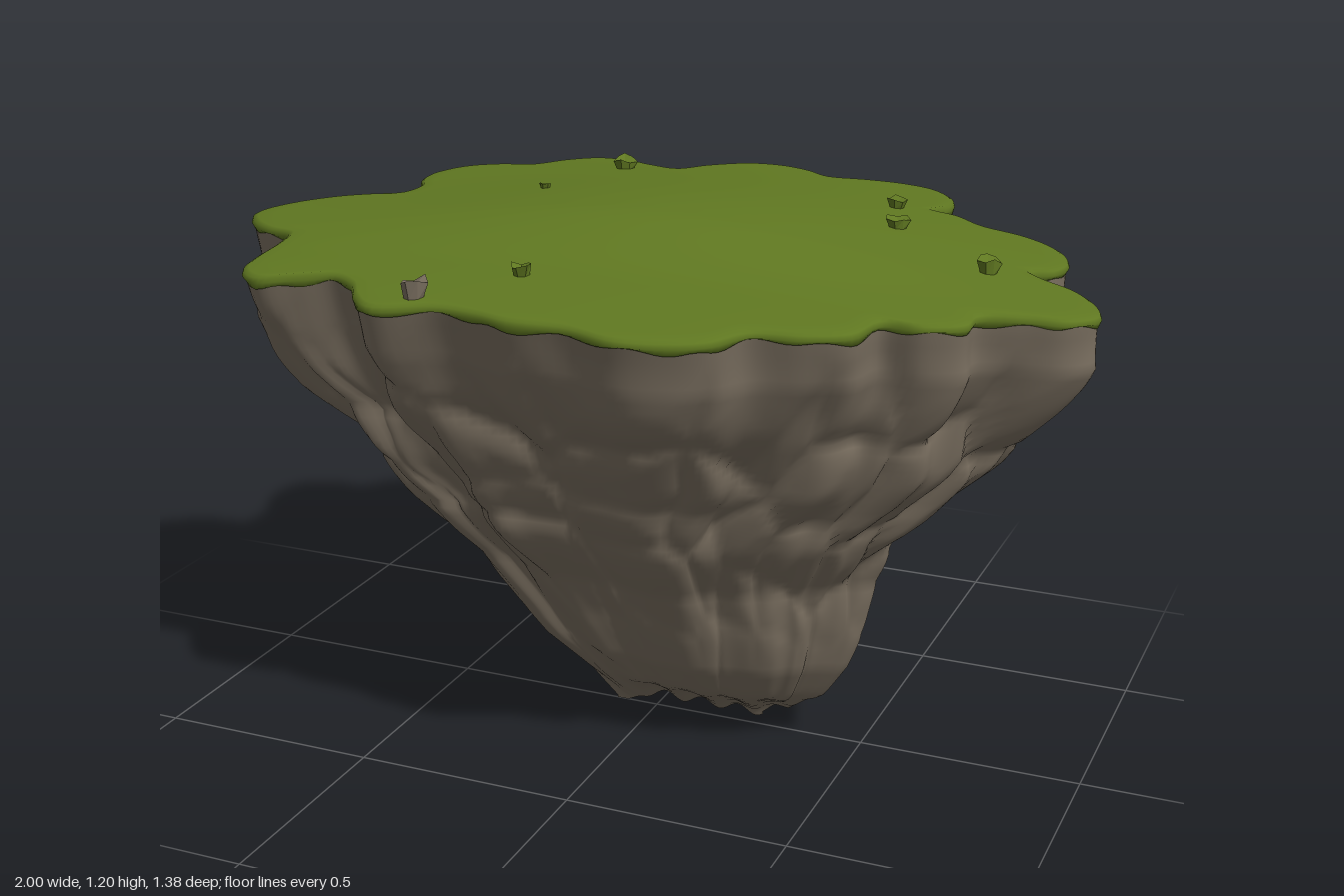
import * as THREE from 'three';

// Scalloped rim of the island, x/z pairs
const RIM = [
  -1, .03, -.96, -.06, -.88, -.12, -.8, -.14, -.72, -.15, -.715, -.24, -.76, -.33, -.77, -.42, -.73, -.5, -.65, -.53,
  -.56, -.53, -.5, -.6, -.43, -.64, -.34, -.62, -.26, -.57, -.17, -.53, -.12, -.61, -.04, -.68, .04, -.69, .12, -.66,
  .19, -.61, .28, -.63, .37, -.64, .45, -.62, .51, -.55, .52, -.47, .5, -.41, .57, -.39, .64, -.34, .74, -.32,
  .82, -.27, .86, -.19, .85, -.11, .81, -.06, .85, -.02, .93, .02, .98, .08, .995, .14, .95, .2, .87, .23,
  .79, .27, .78, .33, .71, .38, .63, .39, .6, .48, .52, .53, .42, .56, .37, .63, .3, .67, .2, .69,
  .08, .66, -.04, .66, -.12, .64, -.22, .63, -.34, .66, -.4, .61, -.45, .54, -.52, .5, -.6, .52, -.68, .54,
  -.74, .49, -.76, .41, -.77, .3, -.79, .23, -.87, .19, -.95, .12,
];

// Rock silhouette by height: y, left, right, front and back reach
const PROFILE = [
  [.0, -.1, .27, .008, -.008],
  [.04, -.14, .34, .05, -.045],
  [.1, -.2, .41, .12, -.12],
  [.2, -.3, .47, .2, -.18],
  [.3, -.38, .51, .25, -.23],
  [.42, -.47, .54, .31, -.29],
  [.55, -.61, .63, .42, -.36],
  [.64, -.72, .72, .47, -.46],
  [.72, -.78, .81, .51, -.51],
  [.88, -.93, .93, .6, -.61],
  [.98, -.993, .993, .65, -.655],
  [1.09, -.995, .995, .687, -.687],
];

const { lerp, smoothstep } = THREE.MathUtils;

const hash = (a, b, s) => {
  const n = Math.sin(a * 127.1 + b * 311.7 + s * 74.7) * 43758.5453;
  return n - Math.floor(n);
};

// Rounded boulder pattern, wrapping around the island: 0 in cracks, 1 on bulges
function boulders(u, v, cols, rows, seed) {
  const x = u * cols, y = v * rows, cx = Math.floor(x), cy = Math.floor(y);
  let d1 = 9, d2 = 9;
  for (let i = cx - 2; i <= cx + 2; i++) {
    for (let j = cy - 2; j <= cy + 2; j++) {
      const w = (i + cols) % cols;
      const d = Math.hypot(i + .15 + .7 * hash(w, j, seed) - x, j + .15 + .7 * hash(w, j, seed + 5) - y);
      if (d < d1) { d2 = d1; d1 = d; } else if (d < d2) d2 = d;
    }
  }
  return Math.sqrt(Math.min(1, (d2 - d1) * 1.5 + .02));
}

// Height of the turf, with a soft hill that drops toward the front
function ground(x, z) {
  const hill = z > 0 ? 1 - smoothstep(z, .05, .38) : Math.exp(-((z / .45) ** 2));
  return 1.14 - .05 * x * x - .075 * Math.max(z, 0) ** 2 + .053 * hill * Math.exp(-((x / .55) ** 2));
}

// Skin over closed rows of points, listed along the outward side
function loft(rows) {
  const n = rows[0].length, index = [];
  for (let i = 0; i < rows.length - 1; i++) {
    for (let j = 0; j < n; j++) {
      const a = i * n + j, b = i * n + (j + 1) % n;
      index.push(a, a + n, b, b, a + n, b + n);
    }
  }
  const g = new THREE.BufferGeometry();
  g.setAttribute('position', new THREE.Float32BufferAttribute(rows.flat(2), 3));
  g.setIndex(index);
  g.computeVertexNormals();
  return g;
}

function profileAt(y) {
  let k = 1;
  while (k < PROFILE.length - 1 && PROFILE[k][0] < y) k++;
  const a = PROFILE[k - 1], b = PROFILE[k], t = (y - a[0]) / (b[0] - a[0]);
  return a.map((v, i) => lerp(v, b[i], t));
}

function rockRows(rim) {
  const rows = [], levels = 60;
  for (let i = 0; i <= levels; i++) {
    const y = 1.09 * i / levels, t = y / 1.09;
    const [, left, right, front, back] = profileAt(y);
    const cx = (left + right) / 2, cz = (front + back) / 2;
    const smooth = .5 * (1 - smoothstep(t, .3, .9));
    // Cracks are shallow near the rim and merge into broad ribs near the keel
    const top = 1 - smoothstep(t, .72, 1), fine = .075 * smoothstep(t, .15, .5);
    rows.push(rim.map((p, j) => {
      // Lobes fade toward an oval lower down
      const a = Math.atan2(p.z / .69, p.x);
      const x = lerp(p.x, Math.cos(a), smooth), z = lerp(p.z / .69, Math.sin(a), smooth);
      const u = j / rim.length;
      const crack = fine * (1 - boulders(u, t + .02 * Math.sin(u * Math.PI * 14), 22, 4, 1))
        + .08 * (1 - boulders(u, t, 10, 2, 9));
      const s = 1 + top * (.04 - crack);
      const px = cx + x * s * (right - left) / 2, pz = cz + z * s * (front - back) / 2;
      // Ragged keel below, top edge following the turf
      const keel = (1 - smoothstep(t, 0, .12)) * smoothstep(px, -.08, 0)
        * (.03 + .01 * Math.sin(px * 70));
      const lift = (ground(p.x, p.z) - 1.102) * t ** 6;
      return [px, y + keel + lift, pz];
    }));
  }
  // Close the keel along its centre line
  rows.unshift(rows[0].map(([x, y]) => [x, y - .006, 0]));
  return rows;
}

function turfRows(rim) {
  // Thin ragged lip under the rim, rounded edge, then inward to the middle
  const steps = [[.965, -.024], [.996, -.024], [1.002, -.015], [.998, -.005], [.985, 0]];
  for (let s = .94; s > .02; s -= .05) steps.push([s, 0]);
  steps.push([.001, 0]);
  return steps.map(([s, drop], i) => rim.map((p, j) => {
    const rag = i < 2 ? .004 * Math.sin(j * .31) + .004 * Math.sin(j * .83 + 1) : 0;
    return [p.x * s, ground(p.x * s, p.z * s) + drop + rag, p.z * s];
  }));
}

// Small jagged clump: a flared stub with uneven points
function clumpGeometry(r, h, seed) {
  const g = new THREE.CylinderGeometry(r, r * .75, h, 7, 1).toNonIndexed();
  const pos = g.attributes.position;
  for (let i = 0; i < pos.count; i++) {
    const x = pos.getX(i), z = pos.getZ(i);
    if (pos.getY(i) > 0 && Math.hypot(x, z) > r * .5) {
      const k = Math.round(Math.atan2(z, x) * 7 / (Math.PI * 2) + 7) % 7;
      const reach = .8 + .5 * hash(k, seed, 8);
      pos.setXYZ(i, x * reach, h * (.15 + .5 * hash(k, seed, 3)), z * reach);
    } else if (pos.getY(i) > 0) pos.setY(i, h * .1);
  }
  g.computeVertexNormals();
  return g;
}

export function createModel() {
  const group = new THREE.Group();
  const rockMat = new THREE.MeshStandardMaterial({ name: 'brown grey rock', color: 0x7a6f60 });
  const grassMat = new THREE.MeshStandardMaterial({ name: 'grass green', color: 0x607821 });

  const points = [];
  for (let i = 0; i < RIM.length; i += 2) points.push(new THREE.Vector3(RIM[i], 0, RIM[i + 1]));
  const curve = new THREE.CatmullRomCurve3(points, true);
  const rim = curve.getPoints(360).slice(0, -1);

  const add = (name, geometry, material) => {
    const mesh = new THREE.Mesh(geometry, material);
    mesh.name = name;
    group.add(mesh);
    return mesh;
  };
  add('rockBody', loft(rockRows(rim)), rockMat);
  add('grassTop', loft(turfRows(rim)), grassMat);

  // Clumps and a stone scattered on the turf: x, z, radius, height
  [
    [-.29, -.49, .026, .03], [.43, -.36, .02, .025], [.49, -.17, .024, .025], [.74, .02, .022, .035],
    [-.12, .42, .022, .025], [-.34, -.15, .014, .012], [-.27, .6, .026, .04],
  ].forEach(([x, z, r, h], i) => {
    const stone = i === 6;
    const mesh = add(stone ? 'stone' : 'grassClump', clumpGeometry(r, h, i), stone ? rockMat : grassMat);
    mesh.position.set(x, ground(x, z) + h * .4, z);
  });
  return group;
}
